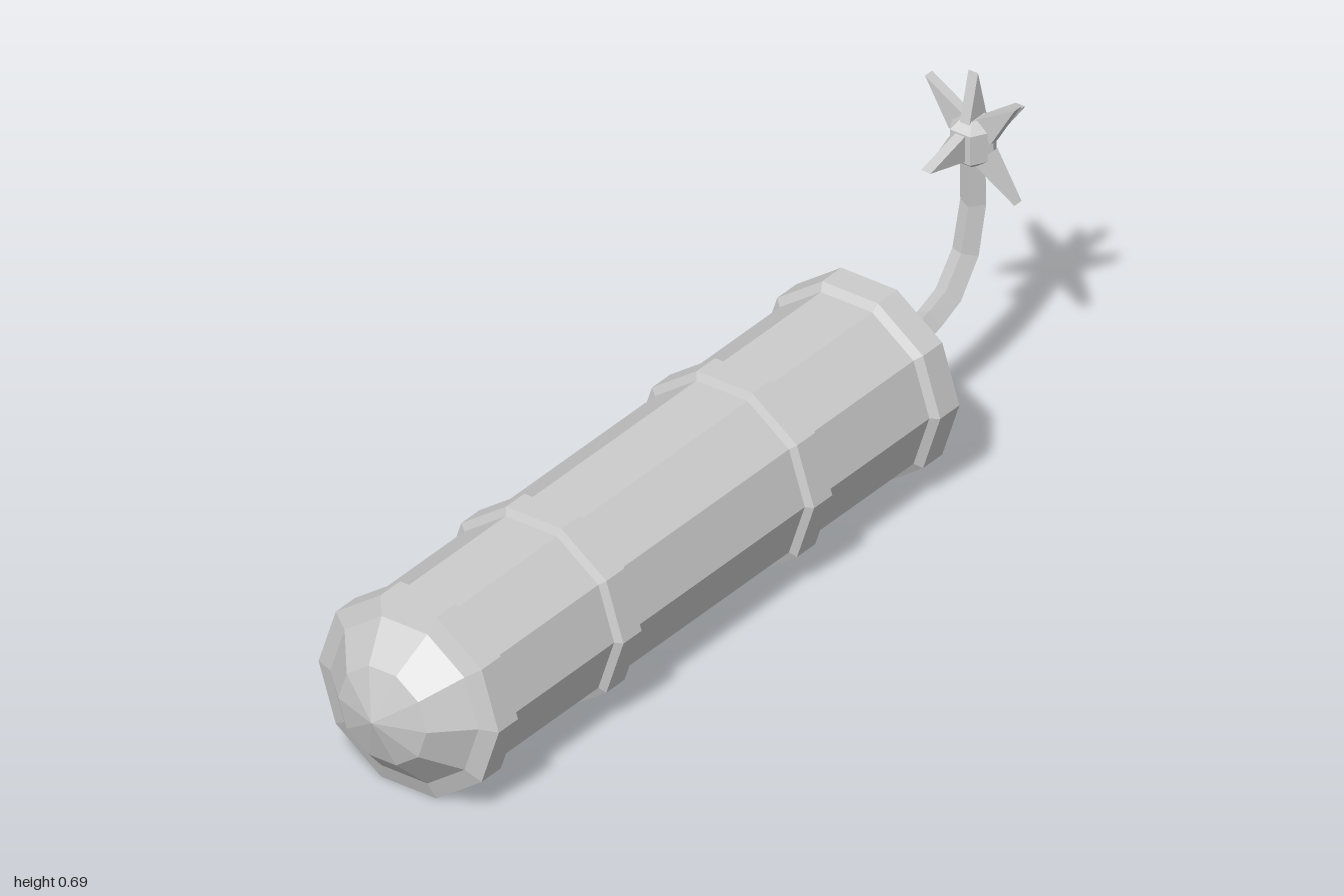
import * as THREE from 'three';

const AXIS_Y = 0.2;

export function createModel() {
  const model = new THREE.Group();
  const grey = new THREE.MeshStandardMaterial({ color: 0xcccccc, flatShading: true });
  grey.name = 'light grey';

  const add = (name, geometry) => {
    const mesh = new THREE.Mesh(geometry, grey);
    mesh.name = name;
    model.add(mesh);
    return mesh;
  };

  // Ten-sided part turned around the long axis; profile is [x, radius] from -x to +x
  const turned = (name, profile) => {
    const points = profile.map(([x, r]) => new THREE.Vector2(r, x));
    const geometry = new THREE.LatheGeometry(points, 10);
    geometry.rotateZ(-Math.PI / 2);
    add(name, geometry).position.y = AXIS_Y;
  };

  // Casing and raised bands
  turned('casing', [[-0.85, 0.191], [0.51, 0.191]]);
  for (const [name, x] of [['backBand', -0.472], ['frontBand', 0.115]]) {
    turned(name, [[x - 0.037, 0.188], [x - 0.028, 0.207], [x + 0.028, 0.207], [x + 0.037, 0.188]]);
  }

  // Domed end caps with their rims, mirrored about the middle of the casing
  const cap = [[-1, 0], [-0.966, 0.102], [-0.898, 0.171], [-0.885, 0.208], [-0.826, 0.208], [-0.813, 0.188]];
  turned('plainEndCap', cap);
  turned('fuseEndCap', cap.map(([x, r]) => [-0.352 - x, r]).reverse());

  // Four-sided fuse swept along a bent path
  add('fuse', fuseGeometry([[0.61, 0.2], [0.655, 0.202], [0.717, 0.216], [0.776, 0.24],
    [0.829, 0.307], [0.853, 0.405], [0.851, 0.52]]));

  // Spark: six-sided core with flat wedge spikes
  const spark = new THREE.Group();
  spark.name = 'spark';
  spark.position.set(0.853, 0.543, 0);
  model.add(spark);

  const coreProfile = [[0, -0.048], [0.024, -0.048], [0.047, -0.031], [0.047, 0.031], [0.024, 0.05], [0, 0.05]];
  spark.add(add('sparkCore', new THREE.LatheGeometry(coreProfile.map((p) => new THREE.Vector2(...p)), 6)));

  for (const turn of [0, 1, -1]) {
    spark.add(add('uprightSpike', spikeGeometry().rotateZ(turn * Math.PI / 2)));
  }
  for (const turn of [1, 3, 5, 7]) {
    spark.add(add('diagonalSpike', spikeGeometry().rotateY(Math.PI / 2).rotateX(turn * Math.PI / 4)));
  }
  return model;
}

// Wedge pointing up, starting inside the core
function spikeGeometry() {
  const shape = new THREE.Shape();
  shape.moveTo(-0.0275, 0.04);
  shape.lineTo(0.0275, 0.04);
  shape.lineTo(0, 0.146);
  shape.closePath();
  const geometry = new THREE.ExtrudeGeometry(shape, { depth: 0.022, bevelEnabled: false });
  return geometry.translate(0, 0, -0.011);
}

// Square cross-sections, slightly twisted and tapering along the path
function fuseGeometry(path) {
  const sides = 4;
  const last = path.length - 1;
  const positions = [];
  const index = [];
  path.forEach(([x, y], i) => {
    const [x0, y0] = path[Math.max(i - 1, 0)];
    const [x1, y1] = path[Math.min(i + 1, last)];
    const tangent = new THREE.Vector2(x1 - x0, y1 - y0).normalize();
    const radius = 0.029 - 0.004 * i / last;
    for (let k = 0; k < sides; k++) {
      const angle = -0.28 + k * Math.PI * 2 / sides;
      const out = radius * Math.cos(angle);
      positions.push(x + tangent.y * out, y - tangent.x * out, radius * Math.sin(angle));
      if (i < last) {
        const a = i * sides + k;
        const b = i * sides + (k + 1) % sides;
        index.push(a, a + sides, b, b, a + sides, b + sides);
      }
    }
  });
  const geometry = new THREE.BufferGeometry();
  geometry.setAttribute('position', new THREE.Float32BufferAttribute(positions, 3));
  geometry.setIndex(index);
  geometry.computeVertexNormals();
  return geometry;
}
